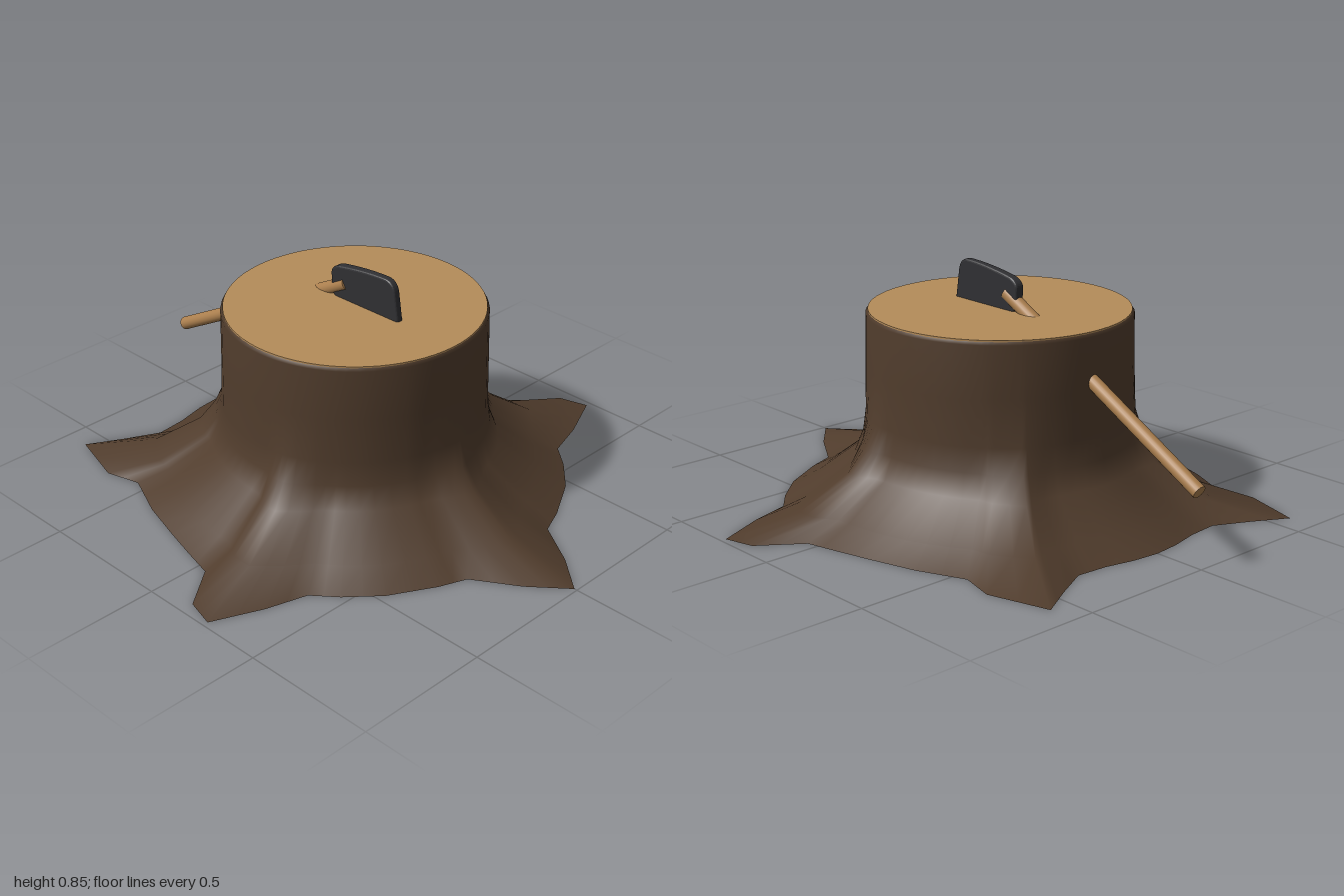
import * as THREE from 'three';

const mat = (name, color, extra = {}) => {
  const m = new THREE.MeshStandardMaterial({ color, ...extra });
  m.name = name;
  return m;
};

const CX = -0.04; // trunk axis

// Ground outline of the roots, from the left root round the front to the right side
const HALF = [
  [0.99, 0], [0.86, 0.11], [0.7, 0.21], [0.66, 0.31], [0.57, 0.47], [0.47, 0.58],
  [0.385, 0.65], [0.34, 0.8], [0.26, 0.98], [0.15, 0.95], [0.04, 0.8], [-0.08, 0.77],
  [-0.21, 0.735], [-0.38, 0.685], [-0.55, 0.61], [-0.68, 0.645], [-0.9, 0.58],
  [-0.83, 0.455], [-0.765, 0.325], [-0.775, 0.21], [-0.8, 0.1], [-0.81, 0],
];

// Full outline as angle and radius, with a midpoint on each edge for a rounder trunk
function makeSpokes() {
  const back = HALF.slice(1, -1).reverse().map(([x, z]) => [x, -z]);
  const all = [...HALF, ...back];
  const spokes = [];
  all.forEach(([x, z], i) => {
    const [nx, nz] = all[(i + 1) % all.length];
    for (const t of [0, 0.5]) {
      const px = x + (nx - x) * t - CX, pz = z + (nz - z) * t;
      spokes.push({ angle: Math.atan2(pz, px), radius: Math.hypot(px, pz) });
    }
  });
  return spokes;
}

// Bark rings: height, radius in the hollows, extra radius along the roots
const RINGS = [
  [0.055, 0.665, 0.095], [0.17, 0.515, 0.065], [0.25, 0.485, 0.035],
  [0.335, 0.475, 0.008], [0.5, 0.473, 0], [0.685, 0.47, 0], [0.697, 0.46, 0],
];

function barkGeometry(spokes) {
  const n = spokes.length, pos = [], index = [];
  const add = (s, r, y) => pos.push(CX + Math.cos(s.angle) * r, y, Math.sin(s.angle) * r);
  spokes.forEach((s) => add(s, s.radius, 0));
  for (const [y, r, flare] of RINGS) {
    spokes.forEach((s) => {
      const t = THREE.MathUtils.clamp((s.radius - 0.76) / 0.27, 0, 1);
      add(s, r + flare * t, y);
    });
  }
  for (let k = 0; k < RINGS.length; k++) {
    for (let i = 0; i < n; i++) {
      const j = (i + 1) % n;
      const a = k * n + i, a2 = k * n + j, b = a + n, b2 = a2 + n;
      index.push(a, b, a2, b, b2, a2);
    }
  }
  const g = new THREE.BufferGeometry();
  g.setAttribute('position', new THREE.Float32BufferAttribute(pos, 3));
  g.setIndex(index);
  g.computeVertexNormals();
  return g;
}

export function createModel() {
  const model = new THREE.Group();
  model.name = 'stumpWithAxe';
  const bark = mat('bark brown', 0x503c2c, { side: THREE.DoubleSide });
  const cutWood = mat('cut wood', 0xb48c5a);
  const handleWood = mat('handle wood', 0xab7f4e);
  const iron = mat('dark iron', 0x303033);

  const add = (name, geometry, material, parent = model) => {
    const mesh = new THREE.Mesh(geometry, material);
    mesh.name = name;
    parent.add(mesh);
    return mesh;
  };

  // Trunk with flaring roots, and its flat underside
  const spokes = makeSpokes();
  add('trunkAndRoots', barkGeometry(spokes), bark);
  const outline = new THREE.Shape(spokes.map((s) =>
    new THREE.Vector2(CX + Math.cos(s.angle) * s.radius, Math.sin(s.angle) * s.radius)));
  add('underside', new THREE.ShapeGeometry(outline).rotateX(Math.PI / 2), bark);

  // Sawn top
  add('cutTop', new THREE.CylinderGeometry(0.462, 0.462, 0.02, 72), cutWood)
    .position.set(CX, 0.69, 0);

  // Axe stuck in the top
  const axe = new THREE.Group();
  axe.name = 'axe';
  axe.position.z = -0.008;
  model.add(axe);

  const from = new THREE.Vector3(-0.988, 0.265, 0), to = new THREE.Vector3(-0.085, 0.757, 0);
  const dir = to.clone().sub(from);
  const handle = add('axeHandle',
    new THREE.CylinderGeometry(0.025, 0.025, dir.length(), 20), handleWood, axe);
  handle.position.copy(from).add(to).multiplyScalar(0.5);
  handle.quaternion.setFromUnitVectors(new THREE.Vector3(0, 1, 0), dir.normalize());

  // Wedge head: rounded plate that thins towards the cutting edge
  const s = new THREE.Shape();
  s.moveTo(-0.14, 0.715);
  s.lineTo(-0.142, 0.785);
  s.quadraticCurveTo(-0.14, 0.803, -0.11, 0.812);
  s.quadraticCurveTo(0.01, 0.835, 0.105, 0.837);
  s.quadraticCurveTo(0.14, 0.838, 0.147, 0.8);
  s.lineTo(0.162, 0.7);
  s.lineTo(0.165, 0.64);
  s.lineTo(-0.08, 0.66);
  s.closePath();
  const head = new THREE.ExtrudeGeometry(s, {
    depth: 0.018, bevelEnabled: true, bevelThickness: 0.008, bevelSize: 0.008,
    bevelSegments: 3, curveSegments: 8,
  }).translate(0, 0, -0.009);
  const p = head.attributes.position;
  for (let i = 0; i < p.count; i++) {
    const t = THREE.MathUtils.clamp((p.getX(i) + 0.15) / 0.32, 0, 1);
    p.setZ(i, p.getZ(i) * (1.1 - 0.3 * t));
  }
  add('axeHead', head, iron, axe);

  return model;
}
